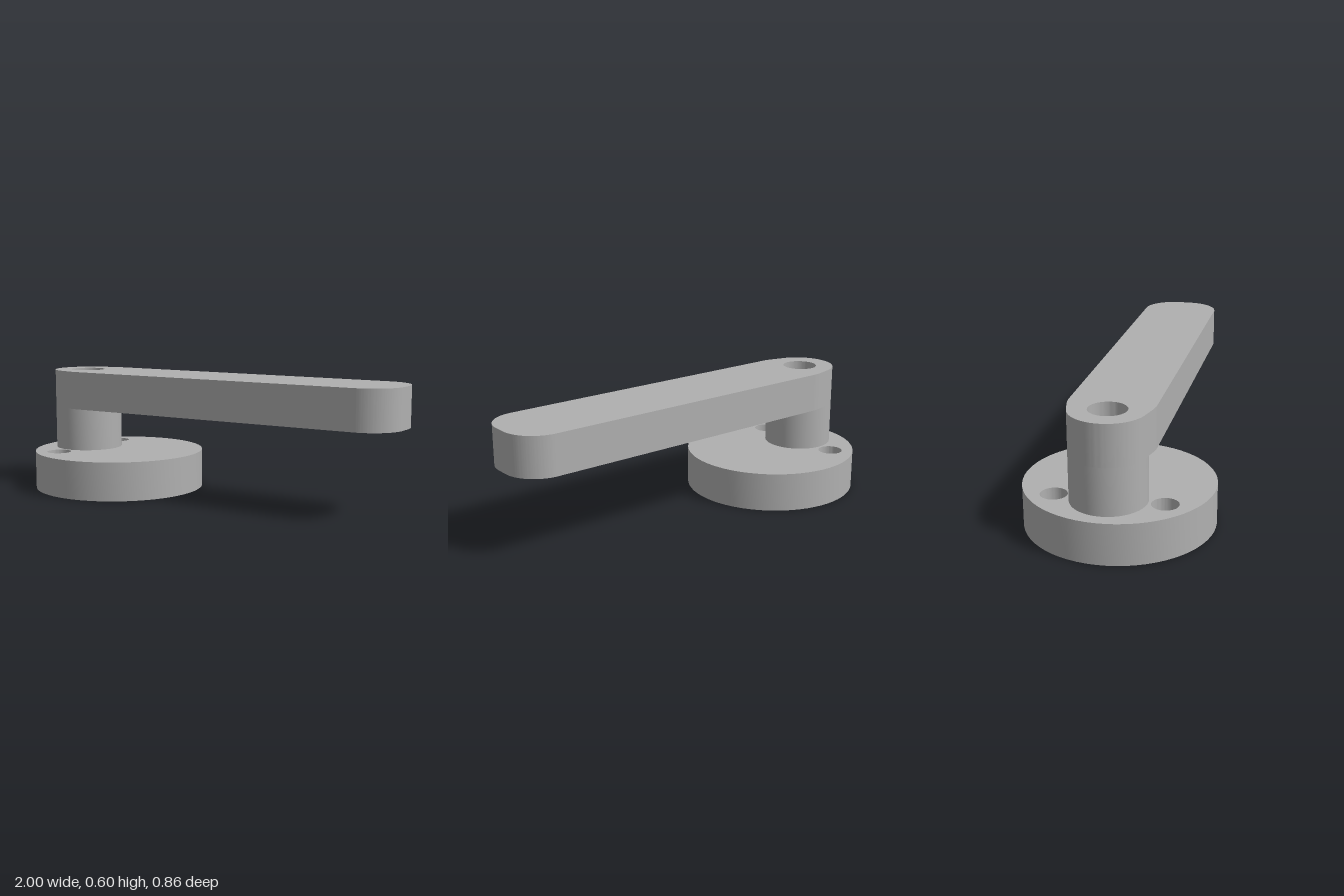
import * as THREE from 'three';
import { toCreasedNormals } from 'three/addons/utils/BufferGeometryUtils.js';

const PIVOT_X = -0.77;
const POST_R = 0.17;
const BORE_R = 0.085;

// Circular outline in plan
function disc(x, y, r) {
  return new THREE.Shape().absarc(x, y, r, 0, Math.PI * 2, false);
}

// Circular hole in plan
function addHole(shape, x, y, r) {
  shape.holes.push(new THREE.Path().absarc(x, y, r, 0, Math.PI * 2, true));
}

// Raise a plan outline from height y0 to y1, smooth around curves, sharp at rims
function slab(name, shape, y0, y1, material) {
  const solid = new THREE.ExtrudeGeometry(shape, { depth: y1 - y0, bevelEnabled: false, curveSegments: 32 });
  solid.rotateX(-Math.PI / 2);
  solid.translate(0, y0, 0);
  const mesh = new THREE.Mesh(toCreasedNormals(solid, 0.5), material);
  mesh.name = name;
  return mesh;
}

export function createModel() {
  const metal = new THREE.MeshStandardMaterial({ color: 0xb0b0b0 });
  metal.name = 'grey metal';
  const group = new THREE.Group();
  group.name = 'crankHandle';

  // Round base with the centre bore and two screw holes
  const base = disc(-0.57, 0, 0.43);
  addHole(base, PIVOT_X, 0, BORE_R);
  for (const side of [-1, 1]) addHole(base, PIVOT_X, side * 0.243, 0.06);
  group.add(slab('base', base, 0, 0.19, metal));

  // Hollow post
  const post = disc(PIVOT_X, 0, POST_R);
  addHole(post, PIVOT_X, 0, BORE_R);
  group.add(slab('post', post, 0.19, 0.406, metal));

  // Lever: rounded tip, flared neck and round end over the post
  const w = 0.19, r = 0.16, a = 1.4;
  const neckX = PIVOT_X + POST_R * Math.cos(a), neckY = POST_R * Math.sin(a);
  const arm = new THREE.Shape();
  arm.moveTo(-0.69, -w);
  arm.lineTo(1 - r, -w);
  arm.absarc(1 - r, -w + r, r, -Math.PI / 2, 0, false);
  arm.lineTo(1, w - r);
  arm.absarc(1 - r, w - r, r, 0, Math.PI / 2, false);
  arm.lineTo(-0.69, w);
  arm.quadraticCurveTo(-0.72, w, 2 * PIVOT_X - neckX, neckY);
  arm.absarc(PIVOT_X, 0, POST_R, Math.PI - a, Math.PI + a, false);
  arm.quadraticCurveTo(-0.72, -w, -0.69, -w);
  addHole(arm, PIVOT_X, 0, BORE_R);
  group.add(slab('lever', arm, 0.406, 0.596, metal));

  return group;
}
